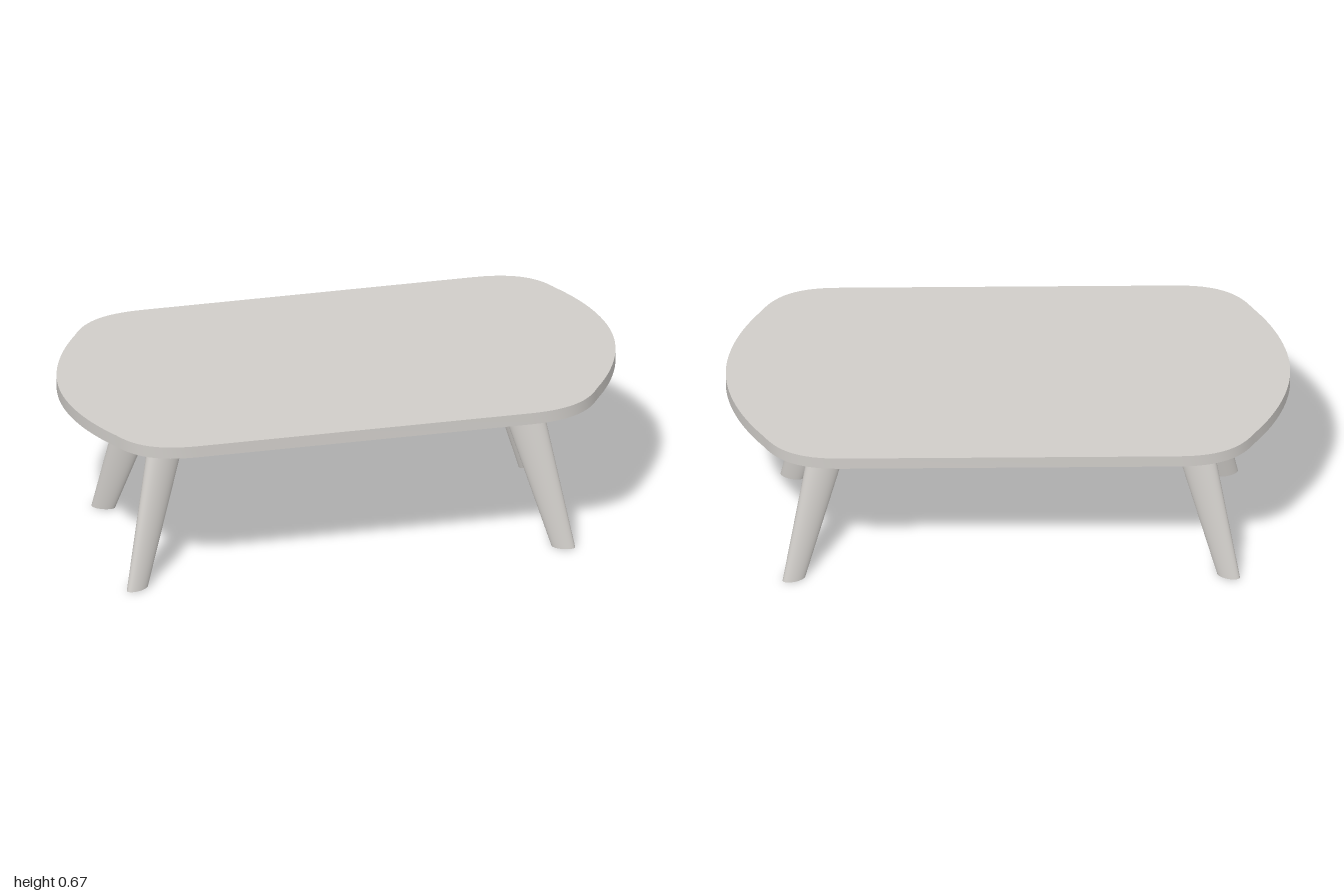
import * as THREE from 'three';
import { toCreasedNormals } from 'three/addons/utils/BufferGeometryUtils.js';

const UNDERSIDE = 0.627;
const THICKNESS = 0.045;

// Rounded slab with bowed ends
function topGeometry() {
  const s = new THREE.Shape();
  s.moveTo(-0.6, 0.505);
  s.lineTo(0.6, 0.505);
  s.bezierCurveTo(0.78, 0.505, 0.835, 0.43, 0.87, 0.37);
  s.bezierCurveTo(0.955, 0.25, 1, 0.12, 1, 0);
  s.bezierCurveTo(1, -0.12, 0.955, -0.25, 0.87, -0.37);
  s.bezierCurveTo(0.835, -0.43, 0.78, -0.505, 0.6, -0.505);
  s.lineTo(-0.6, -0.505);
  s.bezierCurveTo(-0.78, -0.505, -0.835, -0.43, -0.87, -0.37);
  s.bezierCurveTo(-0.955, -0.25, -1, -0.12, -1, 0);
  s.bezierCurveTo(-1, 0.12, -0.955, 0.25, -0.87, 0.37);
  s.bezierCurveTo(-0.835, 0.43, -0.78, 0.505, -0.6, 0.505);
  const g = new THREE.ExtrudeGeometry(s, { depth: THICKNESS, bevelEnabled: false, curveSegments: 14 });
  g.rotateX(-Math.PI / 2);
  g.translate(0, UNDERSIDE, 0);
  return toCreasedNormals(g, 0.6);
}

// Tapered oval leg, its long axis turned outward, sheared so both ends stay level
function legGeometry(sx, sz) {
  const h = UNDERSIDE + 0.003;
  const foot = { x: 0.77, z: 0.304 };
  const head = { x: 0.617, z: 0.168 };
  const g = new THREE.CylinderGeometry(1, 0.52, h, 40);
  g.translate(0, h / 2, 0);
  g.scale(0.082, 1, 0.04);
  g.rotateY(-sx * sz * THREE.MathUtils.degToRad(22));
  g.applyMatrix4(new THREE.Matrix4().set(
    1, sx * (head.x - foot.x) / h, 0, sx * foot.x,
    0, 1, 0, 0,
    0, sz * (head.z - foot.z) / h, 1, sz * foot.z,
    0, 0, 0, 1
  ));
  return g;
}

export function createModel() {
  const paleGrey = new THREE.MeshStandardMaterial({ color: 0xcfccc8 });
  paleGrey.name = 'pale grey';

  const table = new THREE.Group();
  table.name = 'coffeeTable';

  const top = new THREE.Mesh(topGeometry(), paleGrey);
  top.name = 'tableTop';
  table.add(top);

  // Four splayed legs
  const legs = new THREE.Group();
  legs.name = 'legs';
  legs.position.set(-0.008, 0, -0.009);
  for (const sx of [-1, 1]) {
    for (const sz of [-1, 1]) {
      const leg = new THREE.Mesh(legGeometry(sx, sz), paleGrey);
      leg.name = (sz > 0 ? 'front' : 'back') + (sx > 0 ? 'Left' : 'Right') + 'Leg';
      legs.add(leg);
    }
  }
  table.add(legs);
  return table;
}
